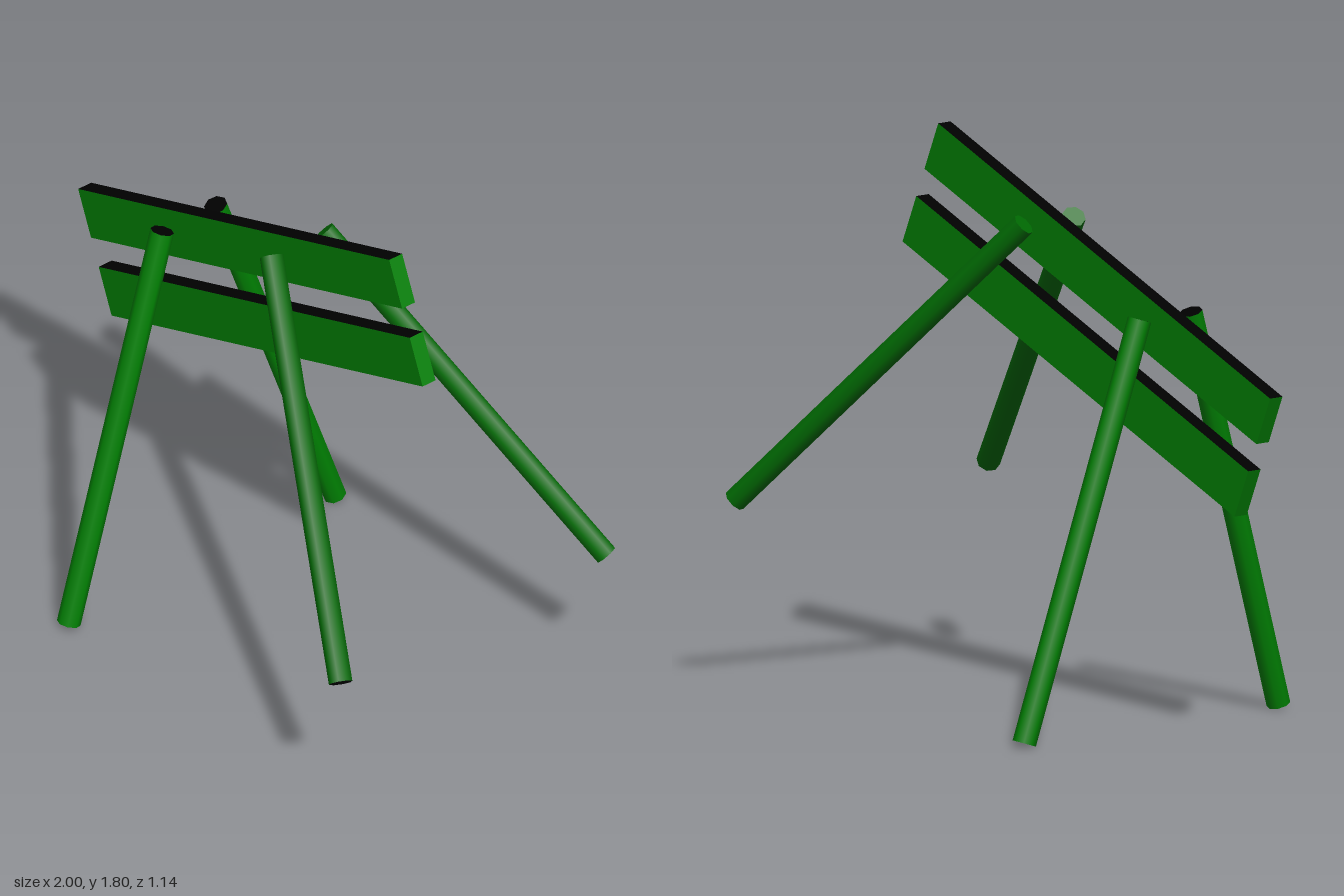
import * as THREE from 'three';

export function createModel() {
  const group = new THREE.Group();
  const paint = (name, color) => {
    const material = new THREE.MeshStandardMaterial({ color });
    material.name = name;
    return material;
  };
  const green = paint('green paint', 0x008002);
  const darkGreen = paint('dark green paint', 0x006a02);
  const black = paint('black edge', 0x000000);

  // Sloping planks: green faces and ends, black long edges
  function plank(name, x, y) {
    const mesh = new THREE.Mesh(
      new THREE.BoxGeometry(1.71, 0.167, 0.052),
      [green, green, black, black, green, green]
    );
    mesh.name = name;
    mesh.position.set(x, y, 0);
    mesh.rotation.z = Math.atan2(0.667, 1.573);
    group.add(mesh);
  }
  plank('upperPlank', -0.181, 1.389);
  plank('lowerPlank', -0.077, 1.143);

  // Round leg running between two points; materials are side, top and bottom
  const up = new THREE.Vector3(0, 1, 0);
  function leg(name, top, bottom, materials) {
    const a = new THREE.Vector3(...top);
    const b = new THREE.Vector3(...bottom);
    const axis = a.clone().sub(b);
    const mesh = new THREE.Mesh(
      new THREE.CylinderGeometry(0.038, 0.038, axis.length(), 8),
      materials
    );
    mesh.name = name;
    mesh.position.copy(a).add(b).multiplyScalar(0.5);
    mesh.quaternion.setFromUnitVectors(up, axis.normalize());
    group.add(mesh);
  }

  // Mirrored pairs: steep legs and slanted legs
  for (const [s, side] of [[1, 'front'], [-1, 'back']]) {
    leg(side + 'SteepLeg', [-0.473, 1.323, s * 0.107], [-0.408, 0.012, s * 0.533],
      [green, black, green]);
    leg(side + 'SlantedLeg', [0.078, 1.553, s * 0.105], [0.967, 0.602, s * 0.532],
      [darkGreen, darkGreen, black]);
  }
  return group;
}
